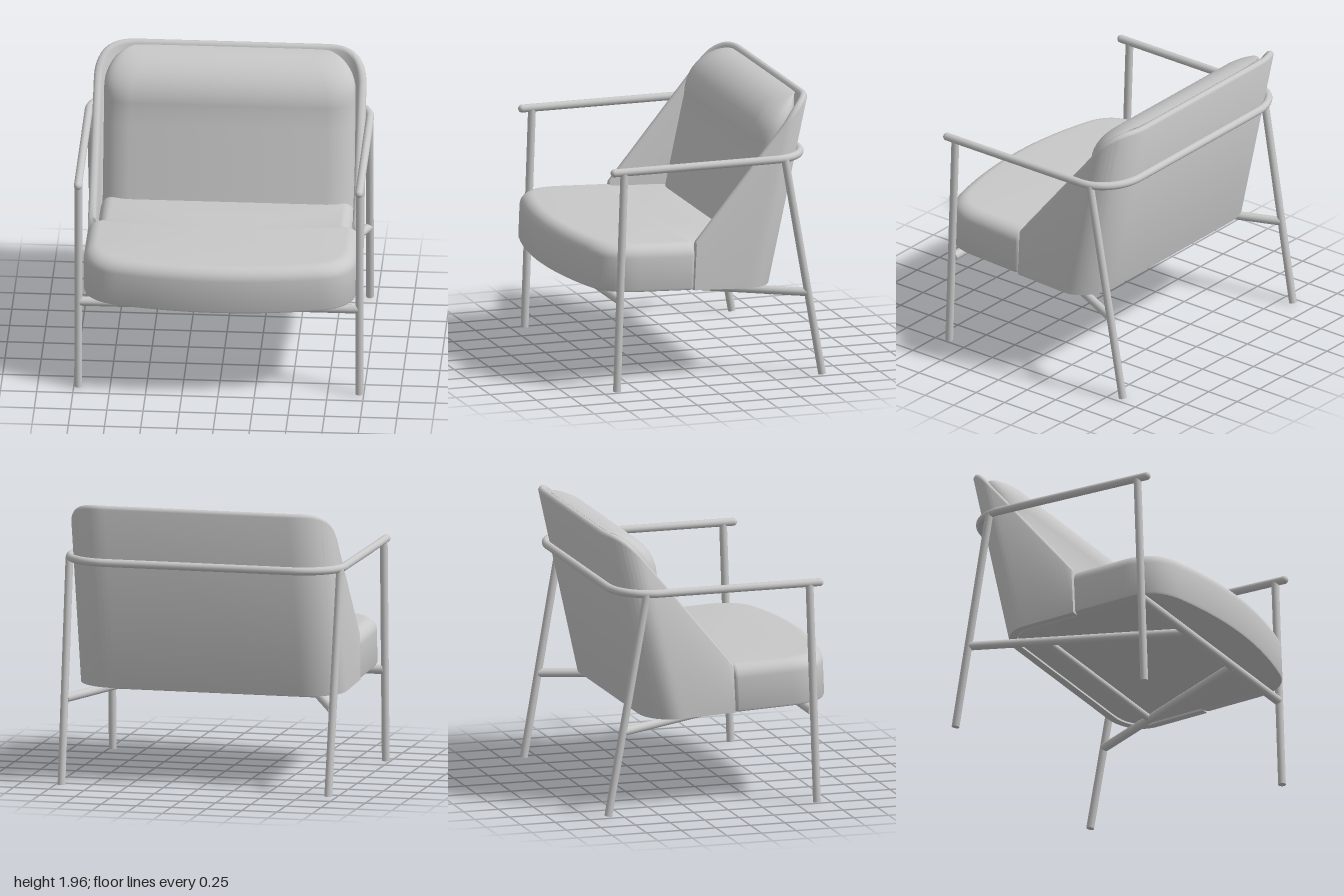
import * as THREE from 'three';
import { toCreasedNormals } from 'three/addons/utils/BufferGeometryUtils.js';

const grey = new THREE.MeshStandardMaterial({ color: 0xc8c8c8 });
grey.name = 'light grey';
const V = (x, y, z) => new THREE.Vector3(x, y, z);

function addMesh(parent, name, geometry) {
  const mesh = new THREE.Mesh(geometry, grey);
  mesh.name = name;
  parent.add(mesh);
  return mesh;
}

// Skin closed rings (counter-clockwise about the loft direction) and cap both ends
function loft(rings, crease = 0.7) {
  const n = rings[0].length, m = rings.length;
  const pts = rings.flat(), index = [];
  for (let i = 0; i < m - 1; i++) {
    for (let j = 0; j < n; j++) {
      const k = (j + 1) % n;
      const a = i * n + j, b = i * n + k, c = a + n, d = b + n;
      index.push(a, b, d, a, d, c);
    }
  }
  [0, m - 1].forEach((r) => {
    const centre = rings[r].reduce((s, p) => s.add(p), V(0, 0, 0)).divideScalar(n);
    const ci = pts.push(centre) - 1;
    for (let j = 0; j < n; j++) {
      const a = r * n + j, b = r * n + (j + 1) % n;
      index.push(ci, ...(r ? [a, b] : [b, a]));
    }
  });
  const g = new THREE.BufferGeometry().setFromPoints(pts);
  g.setIndex(index);
  return toCreasedNormals(g, crease);
}

// U-shaped plan from the left front, round the back, to the right front: [x, z]
function uPlan(hw, zFront, zBack, rx, rz, sideSteps = 10, cornerSteps = 12) {
  const half = [];
  for (let i = 0; i < sideSteps; i++) {
    half.push([hw, zFront + (zBack + rz - zFront) * i / sideSteps]);
  }
  for (let i = 0; i <= cornerSteps; i++) {
    const a = (i / cornerSteps) * Math.PI / 2;
    half.push([hw - rx + rx * Math.cos(a), zBack + rz - rz * Math.sin(a)]);
  }
  return [...half, ...half.slice().reverse().map(([x, z]) => [-x, z])];
}

const tilt = (z) => 0.042 * z; // seat and shell underside drop towards the back

// Height of the shell's top edge at depth z
function shellTop(z) {
  const line = 1.01 + (0.06 - z) * 1.21;
  if (z > -0.585) return line;
  const t = Math.min(1, (-0.585 - z) / 0.235);
  return 1.79 + 0.17 * (1 - (1 - t) ** 1.7);
}

// Thin wrap-around shell with a rounded rim
function shellGeometry() {
  const t = 0.055;
  const low = (d) => uPlan(0.94 - d, 0.075, -0.54 + d, 0.29 - d, 0.22 - d);
  const high = (d) => uPlan(0.94 - d, 0.06, -0.825 + d, 0.29 - d, 0.24 - d);
  const rim = [[1, 0.024], [0.88, 0.009], [0.68, 0.001], [0.5, 0], [0.32, 0.001], [0.12, 0.009], [0, 0.024]];
  const plans = rim.map(([f]) => high(f * t));
  const inner = low(t), outer = low(0);
  const rings = outer.map(([x, z], i) => {
    const yTop = shellTop(plans[6][i][1]);
    return [
      V(inner[i][0], 0.665 + tilt(z), inner[i][1]),
      ...rim.map(([, drop], k) => V(plans[k][i][0], yTop - drop, plans[k][i][1])),
      V(x, 0.665 + tilt(z), z),
    ];
  });
  return loft(rings);
}

// Padded backrest: horizontal sections whose front and sides round over at the top
function backGeometry() {
  const section = (y, zf) => {
    const b = Math.min(1, Math.max(0, (y - 1.72) / 0.22));
    const w = 0.867 - 0.2 * (1 - Math.sqrt(1 - b * b));
    const zb = -0.487 - 0.21 * (y - 0.64), depth = zf - zb;
    const rf = Math.min(0.13, depth * 0.45), rb = Math.min(0.18, depth * 0.5);
    const ring = uPlan(w, zf - rf, zb, 0.24, rb, 2, 10);
    for (let i = 1; i < 20; i++) { // front corners
      const a = (i < 10 ? i / 10 : (i - 9) / 10) * Math.PI / 2;
      const s = i < 10 ? a : Math.PI / 2 - a;
      ring.push([(i < 10 ? -1 : 1) * (w - 0.22 + 0.22 * Math.cos(s)), zf - rf + rf * Math.sin(s)]);
    }
    return ring.map(([x, z]) => V(x, y, z));
  };
  const rings = [];
  for (let i = 0; i < 6; i++) {
    const y = 0.9 + 0.72 * i / 6;
    rings.push(section(y, -0.264 - 0.216 * (y - 0.9)));
  }
  for (let i = 0; i <= 16; i++) {
    const a = (i / 16) * Math.PI / 2;
    rings.push(section(1.62 + 0.32 * Math.sin(a), -0.74 + 0.32 * Math.cos(a)));
  }
  return loft(rings, 0.9);
}

// Seat cushion: bowed front, stepped in where it enters the shell
function seatGeometry() {
  const s = new THREE.Shape();
  s.moveTo(0.94, 0.48);
  s.lineTo(0.94, 0.1);
  s.quadraticCurveTo(0.94, 0.07, 0.875, 0.065);
  s.lineTo(0.875, -0.3);
  s.quadraticCurveTo(0.875, -0.49, 0.62, -0.49);
  s.lineTo(-0.62, -0.49);
  s.quadraticCurveTo(-0.875, -0.49, -0.875, -0.3);
  s.lineTo(-0.875, 0.065);
  s.quadraticCurveTo(-0.94, 0.07, -0.94, 0.1);
  s.lineTo(-0.94, 0.48);
  s.quadraticCurveTo(-0.94, 0.725, -0.7, 0.785);
  s.quadraticCurveTo(0, 0.96, 0.7, 0.785);
  s.quadraticCurveTo(0.94, 0.725, 0.94, 0.48);
  const plan = s.getPoints(14);
  plan.pop();
  const levels = [[0.665, 0.02], [0.671, 0.006], [0.685, 0]]; // height, inset
  for (let i = 0; i <= 9; i++) {
    const a = (i / 9) * Math.PI / 2;
    levels.push([0.905 + 0.09 * Math.sin(a), 0.09 * (1 - Math.cos(a))]);
  }
  return loft(levels.map(([y, d]) => plan.map((p) => {
    const z = 0.19 + (p.y - 0.19) * (1 - d / 0.68) - 0.04 * (y - 0.8);
    return V(p.x * (1 - d / 0.94), y + tilt(z), z);
  })));
}

// Straight round bar between two points
function bar(parent, name, a, b, r) {
  const mesh = addMesh(parent, name, new THREE.CylinderGeometry(r, r, a.distanceTo(b), 20));
  mesh.position.copy(a).lerp(b, 0.5);
  mesh.quaternion.setFromUnitVectors(V(0, 1, 0), b.clone().sub(a).normalize());
}

export function createModel() {
  const chair = new THREE.Group();
  chair.name = 'armchair';

  addMesh(chair, 'seatCushion', seatGeometry());
  addMesh(chair, 'backCushion', backGeometry());
  addMesh(chair, 'shell', shellGeometry());

  const frame = new THREE.Group();
  frame.name = 'frame';
  chair.add(frame);

  // One bent rail forms both arms and wraps behind the shell
  const y = 1.555, x = 0.97, zb = -0.765, r = 0.028;
  const path = new THREE.CurvePath();
  path.add(new THREE.LineCurve3(V(x, y, 0.67), V(x, y, -0.5)));
  path.add(new THREE.CubicBezierCurve3(V(x, y, -0.5), V(x, y, -0.65), V(0.83, y, zb), V(0.66, y, zb)));
  path.add(new THREE.LineCurve3(V(0.66, y, zb), V(-0.66, y, zb)));
  path.add(new THREE.CubicBezierCurve3(V(-0.66, y, zb), V(-0.83, y, zb), V(-x, y, -0.65), V(-x, y, -0.5)));
  path.add(new THREE.LineCurve3(V(-x, y, -0.5), V(-x, y, 0.67)));
  addMesh(frame, 'armRail', new THREE.TubeGeometry(path, 140, r, 16));

  for (const s of [1, -1]) {
    addMesh(frame, 'armRailEnd', new THREE.SphereGeometry(r, 16, 12)).position.set(s * x, y, 0.67);
    bar(frame, 'frontLeg', V(s * x, 0.005, 0.652), V(s * x, y, 0.598), 0.027);
    bar(frame, 'rearLeg', V(s * 0.948, 0.005, -0.85), V(s * 0.962, y, -0.575), 0.027);
    // Diagonal stretchers run inward from the rear legs to the front bar
    bar(frame, 'diagonalStretcher', V(s * 0.95, 0.593, -0.742), V(s * 0.32, 0.642, 0.62), 0.03);
  }
  bar(frame, 'frontStretcher', V(-0.96, 0.645, 0.625), V(0.96, 0.645, 0.625), 0.032);
  bar(frame, 'crossStretcher', V(-0.73, 0.615, -0.26), V(0.73, 0.615, -0.26), 0.026);

  return chair;
}
